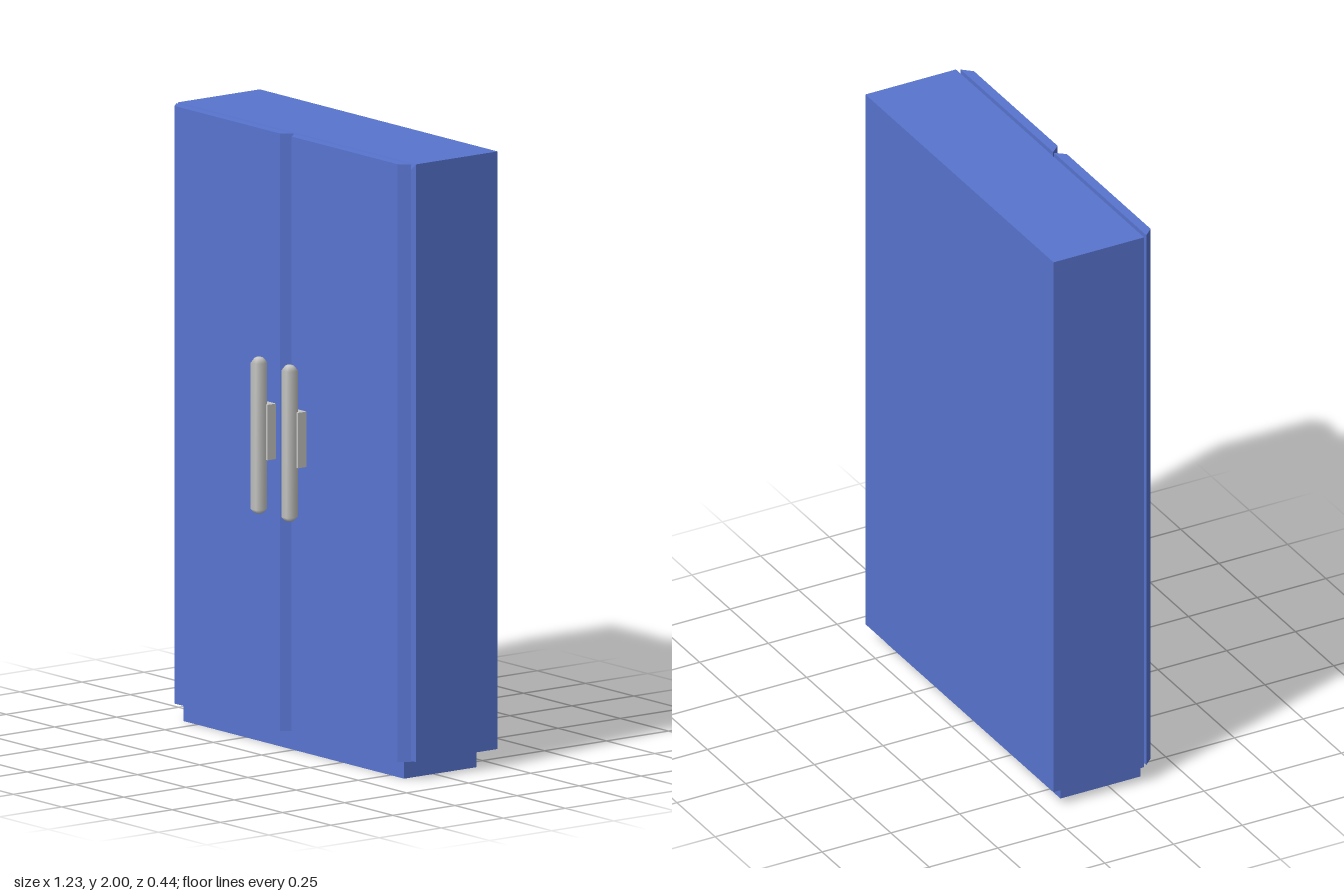
import * as THREE from 'three';

const blue = new THREE.MeshStandardMaterial({ color: 0x5874cf });
blue.name = 'blue paint';
const steel = new THREE.MeshStandardMaterial({ color: 0xc6c6c4 });
steel.name = 'handle steel';

const BOTTOM = 0.06, TOP = 2, BACK = -0.222, SHOULDER = 0.107, FACE = 0.12, FRONT = 0.152;

function add(parent, name, geometry, material, x = 0, y = 0, z = 0) {
  const mesh = new THREE.Mesh(geometry, material);
  mesh.name = name;
  mesh.position.set(x, y, z);
  parent.add(mesh);
  return mesh;
}

// Carcass: a box whose front face is shallowly bevelled at the top and sides
function cabinetGeometry() {
  const box = new THREE.BoxGeometry(1.23, TOP - BOTTOM, 1, 1, 1, 2);
  const p = box.attributes.position;
  for (let i = 0; i < p.count; i++) {
    const z = p.getZ(i), isFront = z > 0.25, isTop = p.getY(i) > 0;
    p.setY(i, isTop ? TOP - (isFront ? 0.05 : 0) : BOTTOM);
    if (isFront) p.setX(i, Math.sign(p.getX(i)) * 0.57);
    p.setZ(i, isFront ? FACE : z < -0.25 ? BACK : SHOULDER);
  }
  const flat = box.toNonIndexed();
  flat.computeVertexNormals();
  return flat;
}

// Door: a trapezoid plan with bevelled long edges, extruded upward
function doorGeometry(side) {
  const plan = [[0.003, FACE], [0.607, FACE], [0.577, FRONT], [0.03, FRONT]];
  const shape = new THREE.Shape(plan.map(([x, z]) => new THREE.Vector2(side * x, -z)));
  const geometry = new THREE.ExtrudeGeometry(shape, { depth: TOP - BOTTOM, bevelEnabled: false });
  return geometry.rotateX(-Math.PI / 2).translate(0, BOTTOM, 0);
}

// Handle bar: six-sided rod with domed ends
function barGeometry() {
  const profile = [[0, 0.765], [0.014, 0.767], [0.0265, 0.78], [0.0265, 1.255], [0.014, 1.271], [0, 1.275]];
  const points = profile.map(([r, y]) => new THREE.Vector2(r, y));
  return new THREE.LatheGeometry(points, 6).rotateY(Math.PI / 2);
}

export function createModel() {
  const model = new THREE.Group();
  model.name = 'wardrobe';

  add(model, 'plinth', new THREE.BoxGeometry(1.14, BOTTOM, 0.292), blue, 0, BOTTOM / 2, -0.026);
  add(model, 'cabinet', cabinetGeometry(), blue);

  for (const [label, side] of [['left', 1], ['right', -1]]) {
    add(model, label + 'Door', doorGeometry(side), blue);
    const handle = new THREE.Group();
    handle.name = label + 'Handle';
    handle.position.x = side * 0.079;
    add(handle, 'handleMount', new THREE.BoxGeometry(0.056, 0.18, 0.036), steel, 0, 1.03, 0.168);
    add(handle, 'handleBar', barGeometry(), steel, 0, 0, 0.199);
    model.add(handle);
  }
  return model;
}
